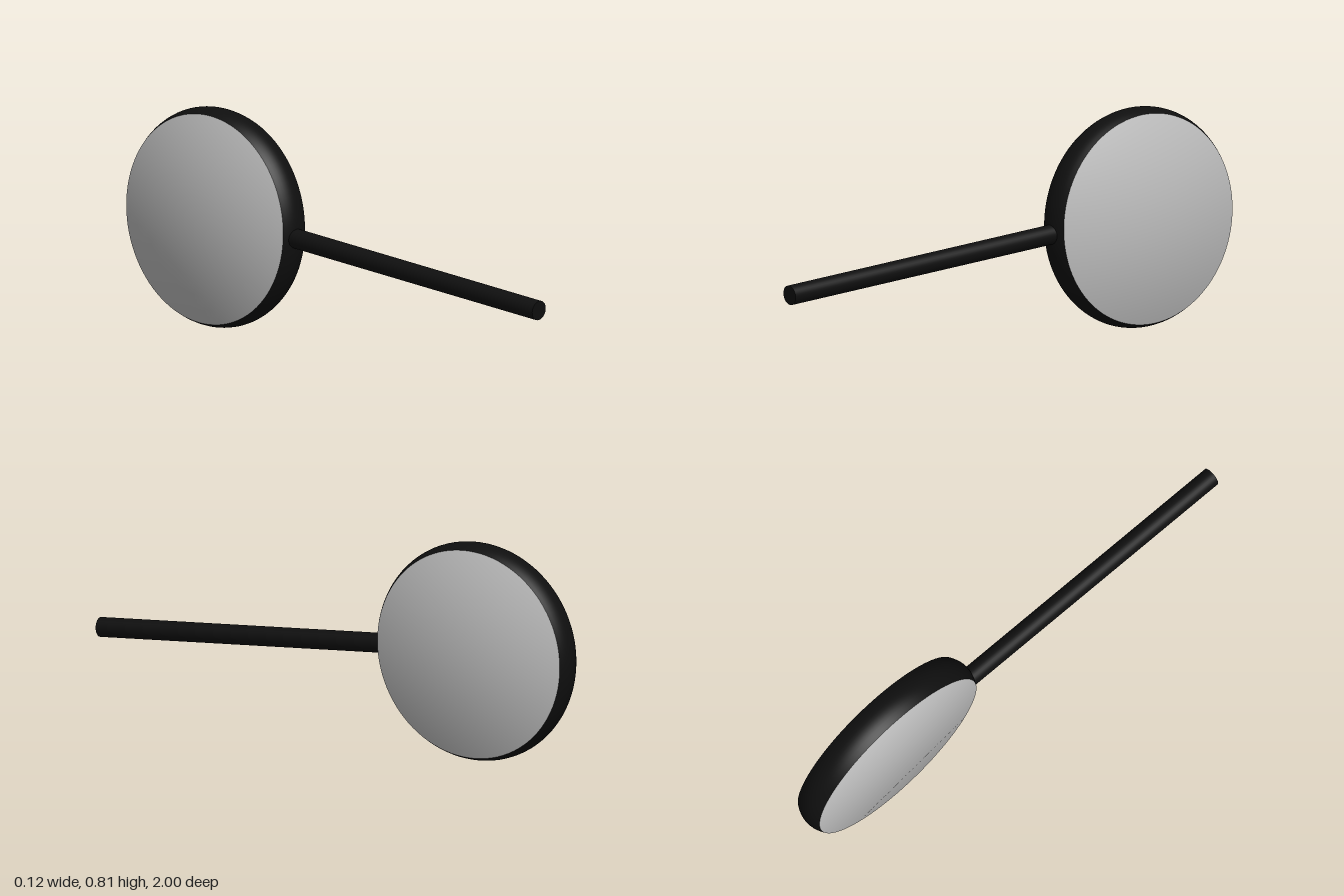
import * as THREE from 'three';

const CENTER = new THREE.Vector3(0, 0.404, -0.596);
const HALF = 0.058;    // half thickness of the rim
const OUTER = 0.404;   // rim radius at its middle
const EDGE = 0.386;    // rim radius at its two edges

export function createModel() {
  const model = new THREE.Group();
  const black = new THREE.MeshStandardMaterial({ color: 0x0f0f0f });
  black.name = 'black';
  const glass = new THREE.MeshStandardMaterial({ color: 0xc0c0c0 });
  glass.name = 'glass grey';

  const add = (name, geometry, material) => {
    const mesh = new THREE.Mesh(geometry, material);
    mesh.name = name;
    model.add(mesh);
    return mesh;
  };

  // Barrel-shaped rim, turned around the x axis
  const profile = [];
  for (let i = 0; i <= 10; i++) {
    const t = i / 5 - 1;
    profile.push(new THREE.Vector2(OUTER - (OUTER - EDGE) * t * t, HALF * t));
  }
  const rim = add('rim', new THREE.LatheGeometry(profile, 96), black);
  rim.rotation.z = -Math.PI / 2;
  rim.position.copy(CENTER);

  // Lens faces on both sides, with normals leaning outward for a domed sheen
  for (const side of [1, -1]) {
    const disc = new THREE.RingGeometry(0, EDGE, 96, 8);
    const pos = disc.attributes.position;
    const normal = new THREE.Vector3();
    for (let i = 0; i < pos.count; i++) {
      normal.set(pos.getX(i), pos.getY(i), 0).multiplyScalar(0.36 / EDGE).setZ(1).normalize();
      disc.attributes.normal.setXYZ(i, normal.x, normal.y, normal.z);
    }
    const lens = add(side > 0 ? 'leftLens' : 'rightLens', disc, glass);
    lens.rotation.y = side * Math.PI / 2;
    lens.position.copy(CENTER).setX(side * HALF);
  }

  // Slim round handle rising slightly toward the rim
  const start = new THREE.Vector3(-0.003, 0.28, 0.997);
  const end = new THREE.Vector3(-0.003, 0.382, -0.22);
  const along = end.clone().sub(start);
  const handle = add('handle', new THREE.CylinderGeometry(0.036, 0.036, along.length(), 32), black);
  handle.position.copy(start).add(end).multiplyScalar(0.5);
  handle.quaternion.setFromUnitVectors(new THREE.Vector3(0, 1, 0), along.normalize());

  return model;
}
